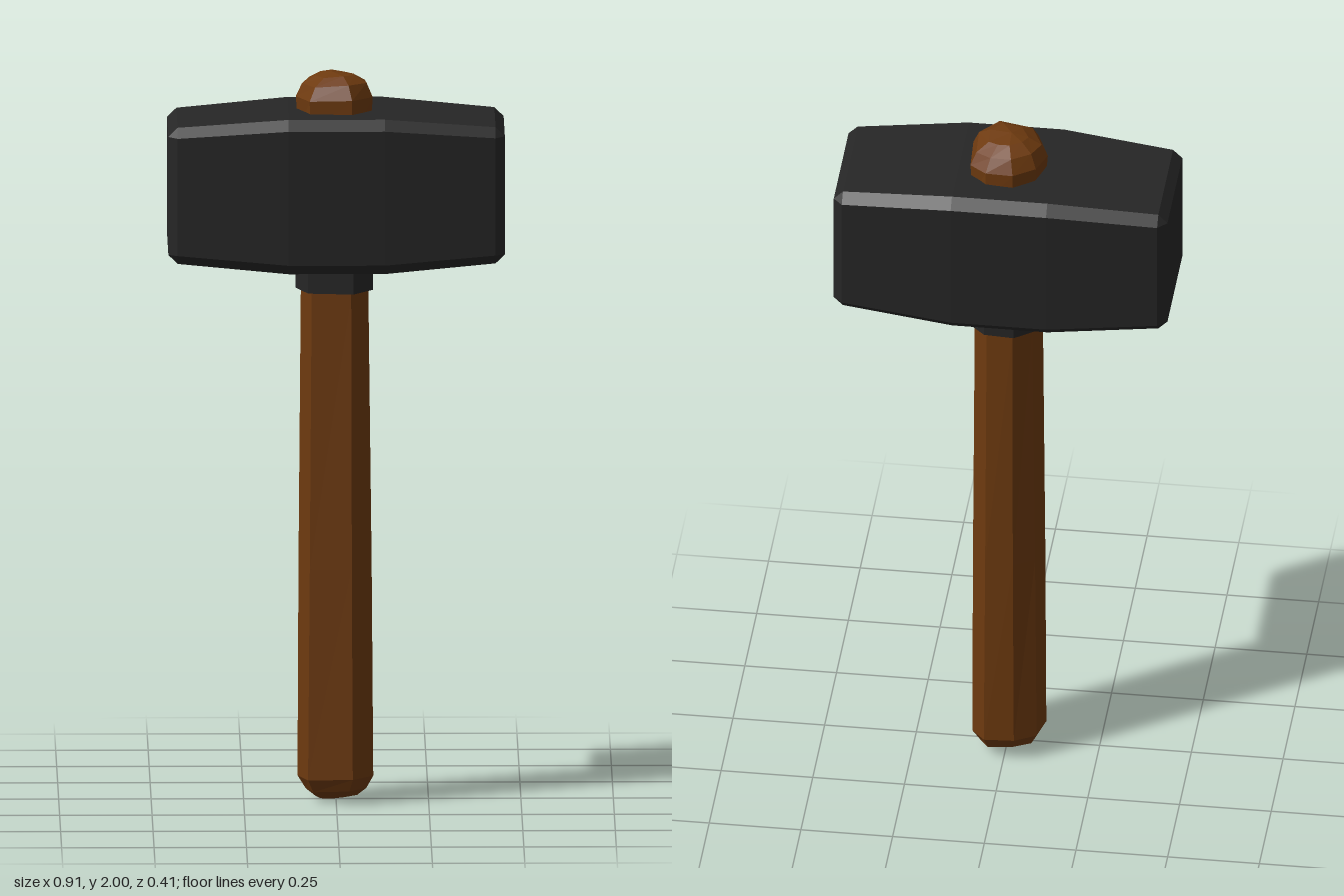
import * as THREE from 'three';

// Faceted solid through rings stacked along y; each ring is a list of [x, y, z]
function loft(rings, bottomTip, topTip) {
  const pos = [];
  const n = rings[0].length;
  for (let r = 0; r < rings.length - 1; r++) {
    for (let i = 0; i < n; i++) {
      const j = (i + 1) % n;
      const lo = rings[r], up = rings[r + 1];
      pos.push(...lo[i], ...up[i], ...lo[j], ...lo[j], ...up[i], ...up[j]);
    }
  }
  const first = rings[0], last = rings[rings.length - 1];
  for (let i = 0; i < n; i++) {
    const j = (i + 1) % n;
    pos.push(...first[j], ...bottomTip, ...first[i]);
    pos.push(...last[i], ...topTip, ...last[j]);
  }
  const geo = new THREE.BufferGeometry();
  geo.setAttribute('position', new THREE.Float32BufferAttribute(pos, 3));
  geo.computeVertexNormals();
  return geo;
}

// Rectangle with cut corners: half height h, half depth d, chamfer c
function chamferedRing(y, h, d, c) {
  return [
    [h, -d + c], [h, d - c], [h - c, d], [-h + c, d],
    [-h, d - c], [-h, -d + c], [-h + c, -d], [h - c, -d],
  ].map(([x, z]) => [x, y, z]);
}

// Uneven hand-carved grip outline, as [x, z]
const OUTLINE = [
  [-0.03, -0.116], [0.05, -0.11], [0.092, -0.07], [0.098, 0.035],
  [0.045, 0.108], [-0.075, 0.092], [-0.107, 0], [-0.085, -0.075],
];

function gripRing(y, sx, sz, wobble = 0) {
  return OUTLINE.map(([x, z], i) => [
    x * sx + wobble * Math.sin(i * 2.4 + y),
    y + wobble * Math.cos(i * 1.7),
    z * sz + wobble * Math.cos(i * 3.1 + y),
  ]);
}

export function createModel() {
  const group = new THREE.Group();
  const iron = new THREE.MeshStandardMaterial({ color: 0x262626, flatShading: true });
  const wood = new THREE.MeshStandardMaterial({ color: 0x6e3a0f, flatShading: true });
  const add = (name, geo, mat) => {
    const mesh = new THREE.Mesh(geo, mat);
    mesh.name = name;
    group.add(mesh);
    return mesh;
  };

  // Head: swollen in the middle, with chamfered edges, laid along x
  const sections = [
    [-0.455, 0.162, 0.156, 0], [-0.43, 0.187, 0.181, 0.026],
    [-0.13, 0.212, 0.205, 0.028], [0.13, 0.212, 0.205, 0.028],
    [0.43, 0.187, 0.181, 0.026], [0.455, 0.162, 0.156, 0],
  ];
  const headGeo = loft(sections.map((s) => chamferedRing(...s)), [0, -0.455, 0], [0, 0.455, 0]);
  headGeo.rotateZ(-Math.PI / 2);
  add('head', headGeo, iron).position.y = 1.687;

  // Collar under the head
  const collarRings = [1.407, 1.5].map((y) => gripRing(y, 1.02, 1.03));
  add('collar', loft(collarRings, [0, 1.407, 0], [0, 1.5, 0]), iron);

  // Handle: rounded butt, slight taper, and a knob poking out above the head
  const handleRings = [
    gripRing(0.014, 0.55, 0.5, 0.004),
    gripRing(0.035, 0.8, 0.8, 0.004),
    gripRing(0.07, 1, 0.96, 0.003),
    gripRing(0.65, 0.96, 0.98, 0.002),
    gripRing(1.4, 0.89, 0.97),
    gripRing(1.84, 0.95, 0.97),
    gripRing(1.935, 1, 0.99, 0.003),
    gripRing(1.972, 0.83, 0.8, 0.005),
    gripRing(1.992, 0.5, 0.46, 0.004),
  ];
  add('handle', loft(handleRings, [-0.01, 0.003, 0], [-0.01, 2, 0]), wood);

  return group;
}
